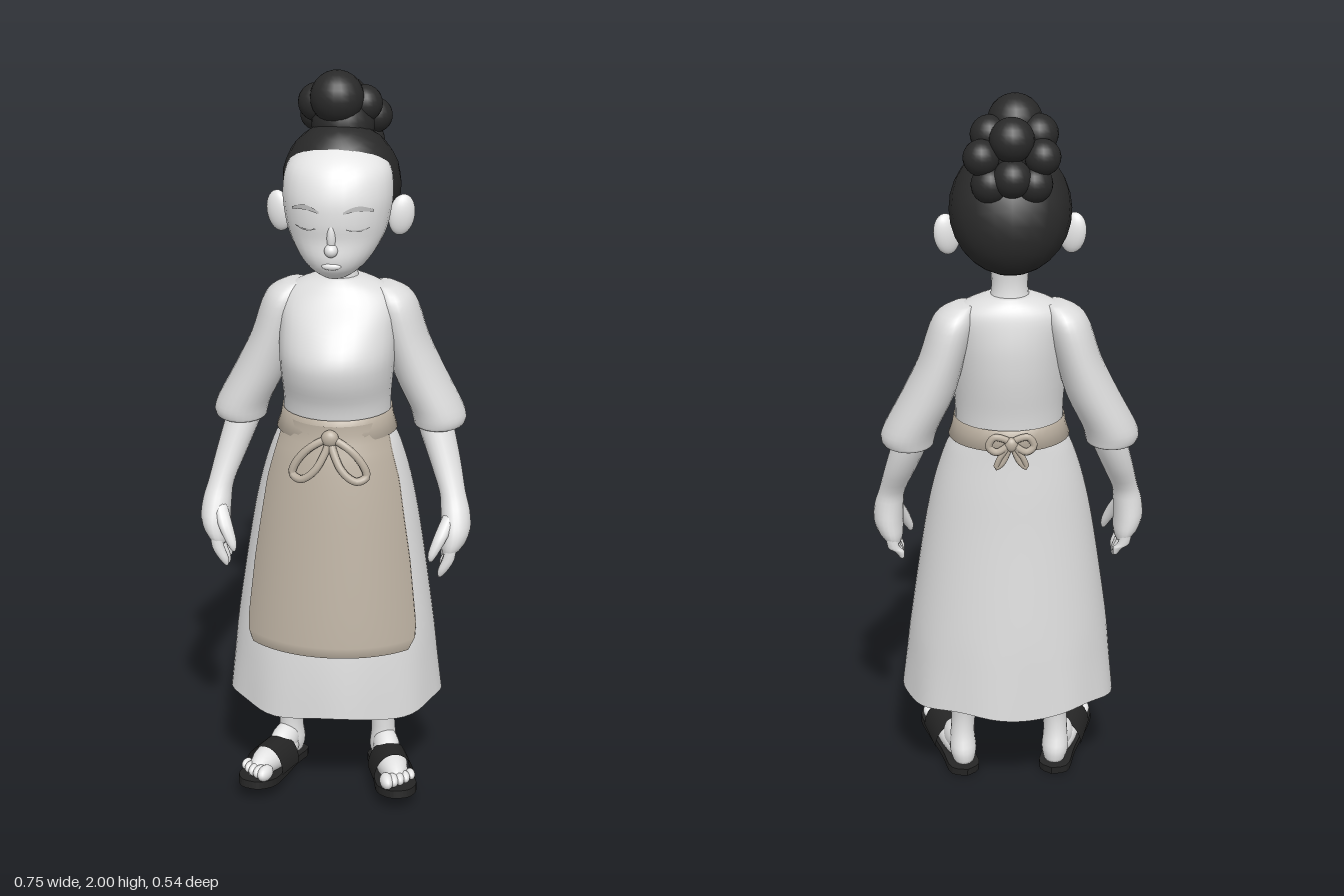
import * as THREE from 'three';

const mat = (name, color) => {
  const m = new THREE.MeshStandardMaterial({ color, side: THREE.DoubleSide });
  m.name = name;
  return m;
};

// Catmull-Rom smoothing of a list of number rows
function smooth(rows, k = 4) {
  const out = [], at = i => rows[Math.min(rows.length - 1, Math.max(0, i))];
  for (let i = 0; i < rows.length - 1; i++)
    for (let j = 0; j < k; j++) {
      const t = j / k, [a, b, c, d] = [at(i - 1), at(i), at(i + 1), at(i + 2)];
      out.push(b.map((p, n) => {
        const k1 = c[n] - a[n], k2 = 2 * a[n] - 5 * p + 4 * c[n] - d[n], k3 = 3 * (p - c[n]) + d[n] - a[n];
        return p + 0.5 * t * (k1 + t * (k2 + t * k3));
      }));
    }
  out.push(at(rows.length - 1));
  return out;
}

// Surface through rows of points, ordered from top to bottom
function skinRows(rows, closed, caps) {
  const n = rows[0].length, pos = rows.flat(2), idx = [];
  for (let r = 0; r < rows.length - 1; r++)
    for (let i = 0; i < (closed ? n : n - 1); i++) {
      const a = r * n + i, b = r * n + (i + 1) % n;
      idx.push(a, a + n, b, b, a + n, b + n);
    }
  if (caps) [0, rows.length - 1].forEach((r, end) => {
    const c = pos.length / 3;
    for (let k = 0; k < 3; k++) pos.push(rows[r].reduce((s, p) => s + p[k], 0) / n);
    for (let i = 0; i < n; i++) {
      const a = r * n + i, b = r * n + (i + 1) % n;
      idx.push(...(end ? [a, c, b] : [a, b, c]));
    }
  });
  const g = new THREE.BufferGeometry();
  g.setAttribute('position', new THREE.Float32BufferAttribute(pos, 3));
  g.setIndex(idx);
  g.computeVertexNormals();
  return g;
}

// Loft through ellipse rings [y, centreX, centreZ, radiusX, radiusZ]
function loft(rings, { n = 20, caps = true, warp } = {}) {
  return skinRows(rings.map(([y, cx, cz, rx, rz]) => Array.from({ length: n }, (_, i) => {
    const a = i / n * Math.PI * 2;
    const p = [cx + rx * Math.sin(a), y, cz + rz * Math.cos(a)];
    return warp ? warp(p, a) : p;
  })), true, caps);
}

// Rings given as [y, halfWidth, front z, back z]
const body = rows => smooth(rows.map(([y, w, f, b]) => [y, 0, (f + b) / 2, w, (f - b) / 2]));

// Linear lookup in rows sorted by falling first value
function lookup(rows, y) {
  let i = 0;
  while (i < rows.length - 2 && rows[i + 1][0] > y) i++;
  const a = rows[i], b = rows[i + 1], t = THREE.MathUtils.clamp((a[0] - y) / (a[0] - b[0]), 0, 1);
  return a.map((v, k) => v + (b[k] - v) * t);
}
function frontZ(rings, x, y) {
  const [, , cz, rx, rz] = lookup(rings, y);
  return cz + rz * Math.sqrt(Math.max(0, 1 - (x / rx) ** 2));
}

export function createModel() {
  const skin = mat('skin', 0xe6e6e6), cloth = mat('dress cloth', 0xdddddd);
  const linen = mat('apron linen', 0xb9ae9f), black = mat('hair black', 0x292929);
  const rubber = mat('sandal black', 0x252525), grey = mat('brow grey', 0xbdbdbd);
  const model = new THREE.Group();
  const add = (name, geo, m, parent = model) => {
    const mesh = new THREE.Mesh(geo, m);
    mesh.name = name;
    parent.add(mesh);
    return mesh;
  };
  const blob = (name, [x, y, z], [a, b, c], m, parent) => {
    const s = add(name, new THREE.SphereGeometry(1, 20, 14), m, parent);
    s.position.set(x, y, z);
    s.scale.set(a, b, c);
    return s;
  };

  // Head
  const headRings = body([
    [1.83, 0.04, -0.02, -0.12], [1.80, 0.1, 0.045, -0.15], [1.76, 0.138, 0.088, -0.17], [1.70, 0.147, 0.113, -0.175],
    [1.64, 0.141, 0.116, -0.165], [1.59, 0.128, 0.11, -0.14], [1.54, 0.1, 0.112, -0.1],
    [1.505, 0.068, 0.1, -0.05], [1.482, 0.035, 0.07, -0.01], [1.475, 0.012, 0.05, 0.02]]);
  add('head', loft(headRings, { n: 28 }), skin);
  add('neck', loft(smooth([[1.58, 0, -0.07, 0.06, 0.055], [1.5, 0, -0.066, 0.049, 0.046],
    [1.45, 0, -0.066, 0.052, 0.048], [1.41, 0, -0.07, 0.07, 0.055]])), skin);
  blob('nose', [0, 1.57, 0.112], [0.018, 0.018, 0.02], skin);
  blob('noseBridge', [0, 1.605, 0.106], [0.012, 0.04, 0.014], skin);
  blob('lips', [0, 1.525, 0.105], [0.026, 0.01, 0.01], skin);

  // Thin strip lying on the face
  const faceStrip = (name, s, x0, x1, y, bend, h) => {
    const row = d => Array.from({ length: 9 }, (_, i) => {
      const t = i / 8, x = s * (x0 + (x1 - x0) * t);
      const yy = y + bend * Math.sin(t * Math.PI) + d * Math.sin(Math.PI * (0.15 + 0.7 * t));
      return [x, yy, frontZ(headRings, x, yy) + 0.003];
    });
    add(name, skinRows([row(h / 2), row(-h / 2)], false, false), grey);
  };

  // Hair cap and bun
  const cap = blob('hairCap', [0, 1.7, -0.11], [0.16, 0.175, 0.14], black);
  cap.rotation.x = 0.5;
  [[0, 1.85, -0.13, 0.085], [-0.012, 1.928, -0.1, 0.072], [-0.07, 1.905, -0.14, 0.052], [0.055, 1.905, -0.14, 0.05],
    [-0.078, 1.86, -0.2, 0.047], [0.078, 1.86, -0.2, 0.047], [0, 1.905, -0.2, 0.058], [0, 1.81, -0.22, 0.05],
    [0.055, 1.79, -0.2, 0.05], [-0.055, 1.79, -0.2, 0.05]]
    .forEach(([x, y, z, r]) => blob('bunLobe', [x, y, z], [r, r, r], black));

  // Dress
  add('bodice', loft(body([
    [1.455, 0.06, -0.01, -0.12], [1.435, 0.115, 0.01, -0.14], [1.40, 0.158, 0.035, -0.155], [1.33, 0.158, 0.1, -0.168],
    [1.26, 0.157, 0.143, -0.17], [1.20, 0.153, 0.143, -0.166], [1.13, 0.147, 0.12, -0.158], [1.06, 0.147, 0.112, -0.155]]),
    { n: 32 }), cloth);
  const skirtRings = body([
    [1.10, 0.14, 0.11, -0.152], [1.05, 0.15, 0.114, -0.155], [1.0, 0.175, 0.13, -0.158], [0.9, 0.206, 0.152, -0.168],
    [0.76, 0.234, 0.178, -0.18], [0.5, 0.272, 0.224, -0.207], [0.37, 0.286, 0.24, -0.218], [0.265, 0.297, 0.247, -0.226]]);
  add('skirt', loft(skirtRings, {
    n: 64, caps: false,
    warp: ([x, y, z], a) => {
      const t = Math.max(0, (0.5 - y) / 0.235), f = 1 + 0.012 * t * Math.sin(9 * a);
      return [x * f, y + 0.008 * t * t * Math.sin(5 * a + 1), z * f];
    },
  }), cloth);

  // Apron panel wrapped over the skirt, with folded edges
  const apronWidth = [[1.085, 0.135], [0.92, 0.18], [0.7, 0.213], [0.52, 0.232], [0.475, 0.23], [0.458, 0.215]];
  const apronRows = [];
  for (let r = 0; r <= 25; r++) {
    const v = Math.min(r, 24) / 24, y = 1.085 - 0.627 * v, w = lookup(apronWidth, y)[1];
    apronRows.push(Array.from({ length: 27 }, (_, i) => {
      const u = THREE.MathUtils.clamp((i - 1) / 24, 0, 1), x = w * Math.sin((u - 0.5) * Math.PI);
      const fold = i === 0 || i === 26 || r === 25 ? 0.014 : 0;
      return [x + 0.005 * v, y, frontZ(skirtRings, x, y) + 0.018 - fold];
    }));
  }
  add('apron', skinRows(apronRows, false, false), linen);
  add('apronBand', loft([[1.09, 0, -0.02, 0.142, 0.13], [1.1, 0, -0.02, 0.15, 0.142], [1.07, 0, -0.018, 0.155, 0.146],
    [1.04, 0, -0.016, 0.165, 0.149], [1.035, 0, -0.016, 0.15, 0.135]], { n: 32, caps: false }), linen);

  // Bow loops, front and back
  const bow = (name, pts, r) => [1, -1].forEach(s => {
    const c = new THREE.CatmullRomCurve3(pts.map(([x, y, z]) => new THREE.Vector3(s * x, y, z)), true);
    add(name, new THREE.TubeGeometry(c, 32, r, 8, true), linen);
  });
  bow('frontBowLoop', [[0.005, 1.05, 0.135], [0.05, 1.032, 0.145], [0.092, 0.985, 0.148], [0.1, 0.955, 0.15],
    [0.075, 0.945, 0.163], [0.035, 0.975, 0.163]], 0.011);
  blob('frontBowKnot', [0, 1.055, 0.137], [0.024, 0.024, 0.018], linen);
  bow('backBowLoop', [[0.005, 1.07, -0.17], [0.045, 1.085, -0.17], [0.06, 1.06, -0.17], [0.04, 1.045, -0.175]], 0.01);
  bow('backBowTail', [[0.005, 1.06, -0.172], [0.03, 1.03, -0.175], [0.04, 1.0, -0.172], [0.022, 1.015, -0.172]], 0.008);
  blob('backBowKnot', [0, 1.065, -0.172], [0.018, 0.02, 0.014], linen);

  // Sandal sole outline, toes pointing up the y axis
  const outline = new THREE.Shape(new THREE.SplineCurve([[0, -0.17], [0.042, -0.145], [0.044, -0.06], [0.054, 0.05],
    [0.055, 0.12], [0.03, 0.163], [0, 0.172], [-0.03, 0.163], [-0.055, 0.12], [-0.054, 0.05], [-0.044, -0.06],
    [-0.042, -0.145], [0, -0.17]].map(p => new THREE.Vector2(...p))).getPoints(40));

  for (const s of [1, -1]) {
    const limb = (name, rings, m, opts) =>
      add(name, loft(smooth(rings.map(([y, x, ...r]) => [y, s * x, ...r]), 3), opts), m);

    faceStrip('eyebrow', s, 0.032, 0.108, 1.672, 0.01, 0.013);
    faceStrip('closedEye', s, 0.04, 0.098, 1.628, -0.006, 0.005);
    const ear = blob('ear', [s * 0.165, 1.622, -0.075], [0.036, 0.056, 0.022], skin);
    ear.rotation.set(0, s * 0.35, s * -0.15);

    // Arm: sleeve with hollow cuff, forearm and hand
    limb('sleeve', [[1.432, 0.12, -0.075, 0.03, 0.04], [1.41, 0.14, -0.077, 0.05, 0.066], [1.37, 0.155, -0.078, 0.06, 0.084],
      [1.28, 0.182, -0.08, 0.062, 0.09], [1.18, 0.22, -0.08, 0.072, 0.091], [1.09, 0.265, -0.077, 0.074, 0.089],
      [1.055, 0.275, -0.075, 0.073, 0.086], [1.038, 0.272, -0.075, 0.066, 0.08], [1.06, 0.268, -0.075, 0.058, 0.07],
      [1.14, 0.245, -0.075, 0.04, 0.05]], cloth, { n: 24 });
    limb('forearm', [[1.15, 0.24, -0.072, 0.042, 0.045], [1.05, 0.263, -0.06, 0.049, 0.056], [0.95, 0.295, -0.03, 0.043, 0.05],
      [0.87, 0.32, 0.005, 0.036, 0.041], [0.82, 0.33, 0.02, 0.04, 0.05], [0.77, 0.333, 0.03, 0.041, 0.062],
      [0.73, 0.326, 0.033, 0.034, 0.064], [0.705, 0.318, 0.034, 0.02, 0.055]], skin);
    [0.645, 0.64, 0.65, 0.665].forEach((tip, i) => {
      const z = 0.078 - i * 0.031;
      limb('finger', [[0.75, 0.328, z, 0.014, 0.015], [0.7, 0.32, z + 0.003, 0.017, 0.015], [tip + 0.02, 0.304, z + 0.004, 0.014, 0.012],
        [tip, 0.296, z + 0.004, 0.005, 0.005]], skin, { n: 10 });
    });
    limb('thumb', [[0.82, 0.32, 0.045, 0.018, 0.02], [0.77, 0.3, 0.08, 0.02, 0.021], [0.72, 0.278, 0.1, 0.014, 0.014],
      [0.698, 0.272, 0.104, 0.005, 0.005]], skin, { n: 10 });

    // Leg
    limb('leg', [[0.5, 0.115, -0.03, 0.065, 0.065], [0.27, 0.125, -0.018, 0.053, 0.053], [0.18, 0.13, -0.013, 0.036, 0.042],
      [0.12, 0.133, -0.016, 0.034, 0.041], [0.07, 0.132, -0.022, 0.038, 0.05], [0.035, 0.13, -0.025, 0.03, 0.042]], skin);

    // Foot in an open sandal, turned outward
    const foot = new THREE.Group();
    foot.name = 'foot';
    foot.position.set(s * 0.165, 0.044, 0.09);
    foot.rotation.set(-0.13, s * 0.27, 0, 'YXZ');
    model.add(foot);
    const sole = new THREE.ExtrudeGeometry(outline, { depth: 0.022, bevelEnabled: false });
    add('sandalSole', sole.rotateX(Math.PI / 2), rubber, foot);
    blob('footArch', [0, 0.025, 0], [0.045, 0.042, 0.14], skin, foot);
    blob('instep', [0, 0.045, -0.06], [0.037, 0.045, 0.08], skin, foot).rotation.x = 0.35;
    [0.022, 0.018, 0.017, 0.016, 0.015].forEach((r, i) =>
      blob('toe', [s * (-0.033 + i * 0.0185), 0.02, 0.142 - i * i * 0.0025], [r * 0.85, r, r * 1.6], skin, foot));
    const strap = new THREE.CylinderGeometry(1, 1, 1, 20, 4, true, Math.PI / 2, Math.PI).rotateX(Math.PI / 2);
    const band = add('sandalStrap', strap, rubber, foot);
    band.scale.set(0.058, 0.074, 0.115);
    band.position.set(0, -0.004, 0.02);
  }
  return model;
}
